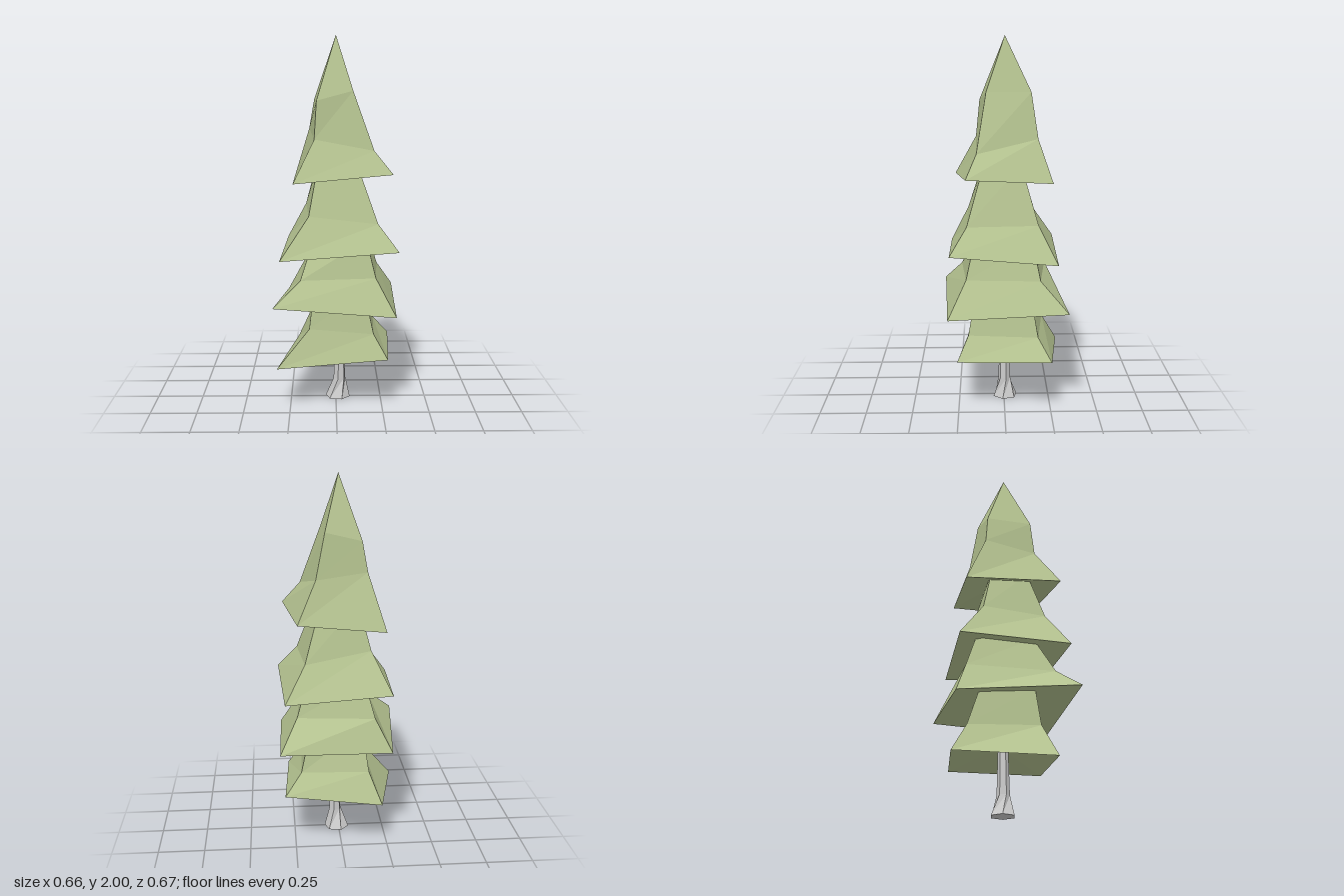
import * as THREE from 'three';

const leafMaterial = new THREE.MeshStandardMaterial({ color: 0xb3c18f, flatShading: true });
const barkMaterial = new THREE.MeshStandardMaterial({ color: 0xcccccc, flatShading: true });

// Faceted solid lofted through rings of [x, y, z] corners, listed bottom to top.
// Corners run anticlockwise seen from above, starting front left.
// The underside rises to a point by the given hollow depth.
function loft(name, rings, material, hollow) {
  const positions = [];
  const tri = (a, b, c) => positions.push(...a, ...b, ...c);
  const sides = rings[0].length;
  const centre = (ring) => [0, 1, 2].map((k) => ring.reduce((sum, p) => sum + p[k], 0) / sides);
  for (let r = 0; r < rings.length - 1; r++) {
    const low = rings[r], up = rings[r + 1];
    for (let i = 0; i < sides; i++) {
      const j = (i + 1) % sides;
      tri(low[i], low[j], up[j]);
      tri(low[i], up[j], up[i]);
    }
  }
  // Underside and top cap
  const bottom = rings[0], top = rings[rings.length - 1];
  const under = centre(bottom), over = centre(top);
  under[1] += hollow;
  for (let i = 0; i < sides; i++) {
    const j = (i + 1) % sides;
    tri(under, bottom[j], bottom[i]);
    tri(over, top[i], top[j]);
  }
  const geometry = new THREE.BufferGeometry();
  geometry.setAttribute('position', new THREE.Float32BufferAttribute(positions, 3));
  geometry.computeVertexNormals();
  const mesh = new THREE.Mesh(geometry, material);
  mesh.name = name;
  return mesh;
}

// Each tier: wide tilted rim, waist, then a narrow top tucked into the tier above.
// Corner order: front left, front right, back right, back left.
const tiers = {
  bottomBranches: [
    [[-0.32, 0.23, 0.21], [0.275, 0.295, 0.255], [0.305, 0.30, -0.25], [-0.215, 0.26, -0.307]],
    [[-0.145, 0.44, 0.165], [0.20, 0.42, 0.195], [0.215, 0.41, -0.18], [-0.15, 0.42, -0.22]],
    [[-0.12, 0.65, 0.14], [0.15, 0.65, 0.155], [0.16, 0.65, -0.14], [-0.12, 0.65, -0.145]],
  ],
  lowerBranches: [
    [[-0.333, 0.60, 0.335], [0.315, 0.54, 0.302], [0.33, 0.575, -0.337], [-0.27, 0.555, -0.295]],
    [[-0.19, 0.725, 0.235], [0.21, 0.73, 0.205], [0.235, 0.73, -0.19], [-0.18, 0.73, -0.235]],
    [[-0.12, 0.93, 0.135], [0.16, 0.93, 0.16], [0.175, 0.93, -0.15], [-0.125, 0.93, -0.17]],
  ],
  upperBranches: [
    [[-0.297, 0.84, 0.295], [0.327, 0.885, 0.29], [0.30, 0.83, -0.28], [-0.27, 0.87, -0.283]],
    [[-0.145, 1.06, 0.195], [0.22, 1.02, 0.20], [0.19, 1.02, -0.18], [-0.165, 1.08, -0.145]],
    [[-0.095, 1.33, 0.11], [0.11, 1.33, 0.11], [0.10, 1.33, -0.09], [-0.10, 1.33, -0.09]],
  ],
  topBranches: [
    [[-0.225, 1.24, 0.267], [0.298, 1.28, 0.203], [0.23, 1.25, -0.253], [-0.235, 1.205, -0.25]],
    [[-0.115, 1.46, 0.15], [0.20, 1.40, 0.147], [0.13, 1.47, -0.178], [-0.145, 1.50, -0.132]],
    [[-0.103, 1.66, 0.13], [0.09, 1.71, 0.095], [0.08, 1.71, -0.143], [-0.117, 1.66, -0.118]],
    Array(4).fill([0, 2, -0.005]),
  ],
};

// Six-sided trunk ring around (x, z)
function trunkRing(x, y, z, radius, twist) {
  return Array.from({ length: 6 }, (_, i) => {
    const a = twist + (i * Math.PI) / 3;
    return [x + radius * Math.cos(a), y, z - radius * Math.sin(a)];
  });
}

export function createModel() {
  const tree = new THREE.Group();
  tree.name = 'pineTree';

  // Flared trunk
  tree.add(loft('trunk', [
    trunkRing(0.011, 0, -0.006, 0.068, -0.2),
    trunkRing(0.02, 0.11, -0.002, 0.034, 0.3),
    trunkRing(0.022, 0.42, -0.003, 0.025, 0.3),
  ], barkMaterial, 0));

  // Four stacked branch tiers
  for (const [name, rings] of Object.entries(tiers)) tree.add(loft(name, rings, leafMaterial, 0.09));
  return tree;
}
